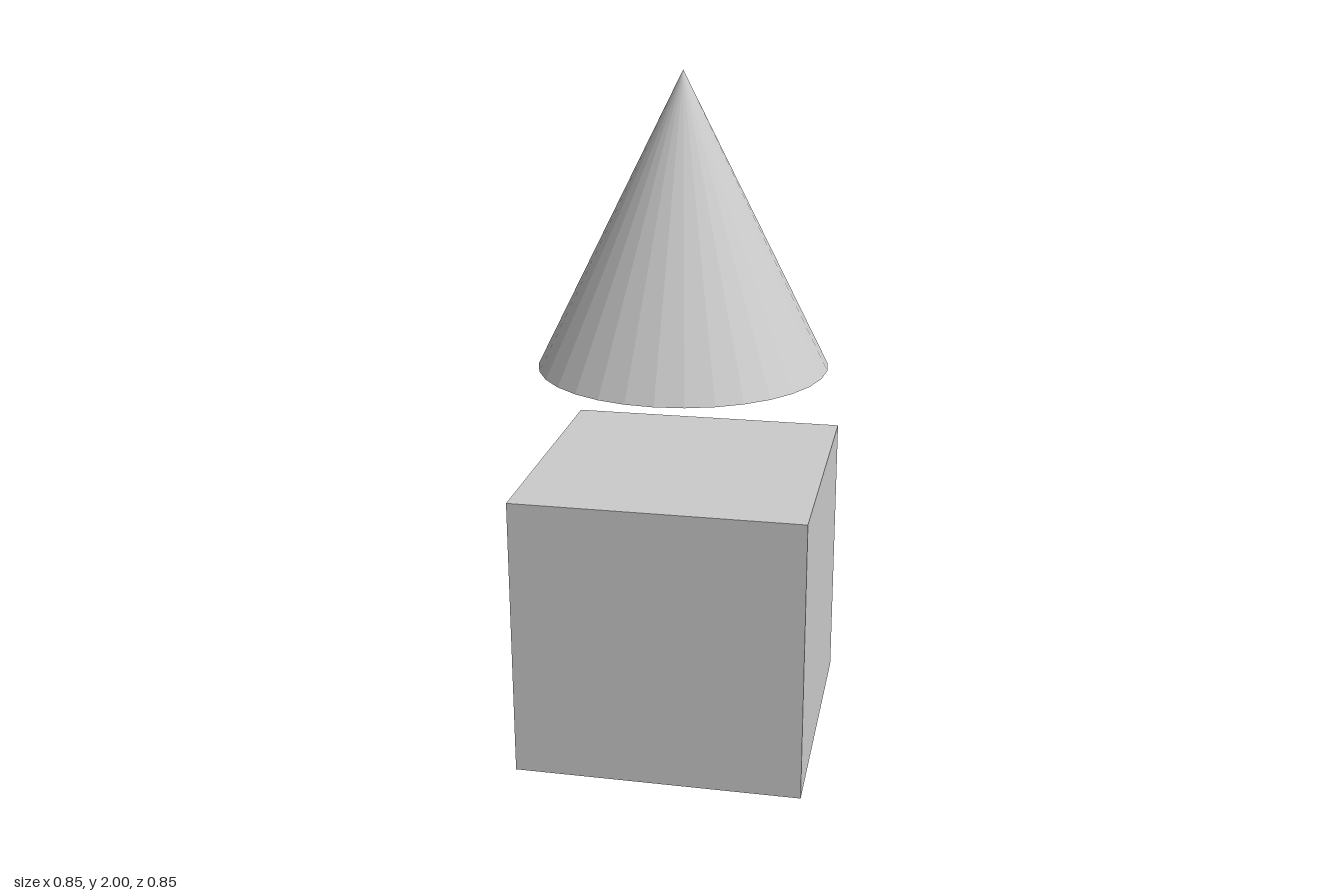
import * as THREE from 'three';

export function createModel() {
  const model = new THREE.Group();
  const size = 0.846;
  const material = new THREE.MeshStandardMaterial({ color: 0xcccccc, flatShading: true });

  function addPart(name, geometry, y) {
    const mesh = new THREE.Mesh(geometry, material);
    mesh.name = name;
    mesh.position.y = y;
    model.add(mesh);
  }

  // Cube on the ground
  addPart('cube', new THREE.BoxGeometry(size, size, size), size / 2);

  // Faceted cone floating above it, as wide and tall as the cube
  addPart('cone', new THREE.ConeGeometry(size / 2, size, 32), 2 - size / 2);

  return model;
}
